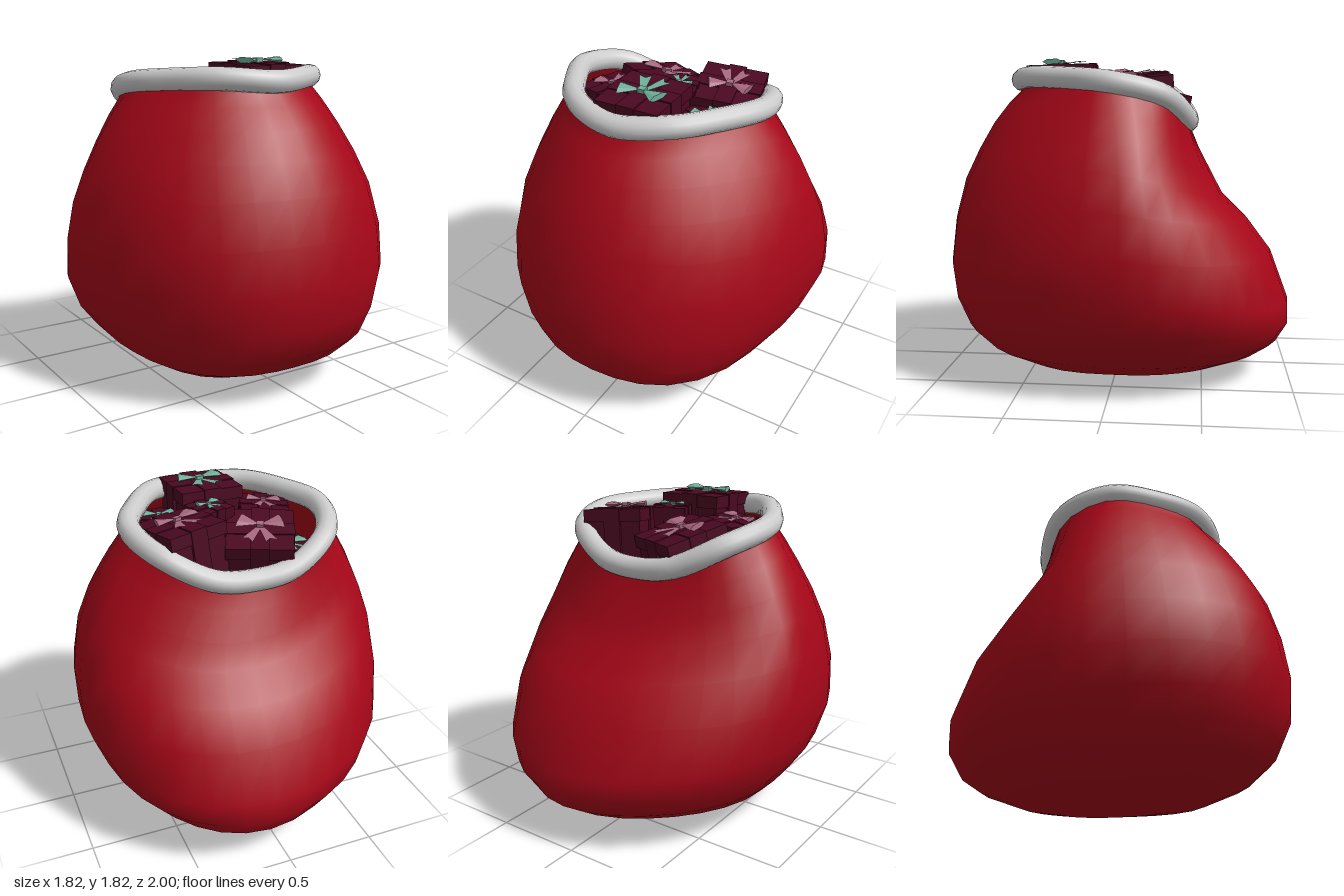
import * as THREE from 'three';

const SIDES = 32;
const mat = (color, extra = {}) => new THREE.MeshStandardMaterial({ color, ...extra });
const red = mat(0xa60618, { side: THREE.DoubleSide });
const grey = mat(0xcccccc);
const wrap = mat(0x4a0820, { flatShading: true });
const green = mat(0x6fb09a, { flatShading: true, side: THREE.DoubleSide });
const pink = mat(0xa8687f, { flatShading: true, side: THREE.DoubleSide });

function add(parent, name, geometry, material, x = 0, y = 0, z = 0) {
  const mesh = new THREE.Mesh(geometry, material);
  mesh.name = name;
  mesh.position.set(x, y, z);
  parent.add(mesh);
  return mesh;
}

// Mouth of the sack: a rounded triangle, low at the back.
// Radius and height every 30 degrees, from front to back.
const mouthRadius = [0.58, 0.555, 0.522, 0.565, 0.55, 0.455, 0.4];
const mouthHeight = [1.692, 1.71, 1.702, 1.678, 1.61, 1.485, 1.455];
const mouthPoints = [];
for (let i = 0; i < 12; i++) {
  const k = i > 6 ? 12 - i : i, a = (i * Math.PI) / 6;
  mouthPoints.push(new THREE.Vector3(
    mouthRadius[k] * Math.sin(a) - 0.017, mouthHeight[k], mouthRadius[k] * Math.cos(a)));
}
const mouth = new THREE.CatmullRomCurve3(mouthPoints, true);

// Rings of the sack: y at front, side, back; half width; z at front, back;
// blend from ellipse (0) to the mouth's outline (1);
// fullness of the diagonals at front, back
const rings = [
  [0.015, 0.012, 0.008, 0.29, 0.27, -0.38, 0, 0.13, -0.04],
  [0.06, 0.06, 0.055, 0.48, 0.52, -0.62, 0, 0.12, -0.04],
  [0.16, 0.16, 0.135, 0.65, 0.76, -0.83, 0, 0.09, -0.03],
  [0.28, 0.25, 0.21, 0.735, 0.9, -0.94, 0, 0.065, -0.02],
  [0.45, 0.38, 0.32, 0.83, 0.98, -1.0, 0, 0.035, 0],
  [0.66, 0.57, 0.44, 0.9, 1.0, -0.995, 0, 0.03, 0],
  [0.9, 0.8, 0.72, 0.91, 0.97, -0.89, 0, 0.02, -0.01],
  [1.13, 1.03, 0.9, 0.88, 0.91, -0.755, 0.03, 0, -0.04],
  [1.3, 1.22, 1.04, 0.82, 0.83, -0.61, 0.12, -0.02, -0.07],
  [1.45, 1.38, 1.17, 0.745, 0.745, -0.54, 0.3, -0.035, -0.08],
  [1.56, 1.52, 1.3, 0.665, 0.66, -0.47, 0.6, -0.03, -0.06],
  [1.63, 1.61, 1.4, 0.6, 0.59, -0.42, 0.9, -0.01, -0.03],
];

function sackGeometry() {
  const pos = [0, 0, 0], index = [];
  for (const [yF, yS, yB, rx, zF, zB, w, fullF, fullB] of rings) {
    const zc = -0.08 * (1 - w);
    for (let i = 0; i < SIDES; i++) {
      const a = (i / SIDES) * Math.PI * 2, c = Math.cos(a);
      const m = mouth.getPoint(i / SIDES);
      const full = 1 + (c > 0 ? fullF : fullB) * Math.sin(2 * a) ** 2;
      // the back leans to +x
      const lean = c < 0 ? 0.1 * c * c * (1 - w) : 0;
      const nx = full * THREE.MathUtils.lerp(Math.sin(a), m.x / 0.565, w);
      const nz = full * THREE.MathUtils.lerp(c, m.z > 0 ? m.z / 0.58 : m.z / 0.4, w);
      pos.push(rx * nx + lean,
        yS + ((yF - yB) / 2) * c + ((yF + yB) / 2 - yS) * c * c,
        zc + nz * (nz > 0 ? zF - zc : zc - zB));
    }
  }
  // last ring ends inside the fur trim
  for (let i = 0; i < SIDES; i++) {
    const m = mouth.getPoint(i / SIDES);
    pos.push(m.x, m.y, m.z);
  }
  const at = (r, i) => 1 + r * SIDES + (i % SIDES);
  for (let i = 0; i < SIDES; i++) {
    index.push(0, at(0, i + 1), at(0, i));
    for (let r = 0; r < rings.length; r++) {
      index.push(at(r, i), at(r, i + 1), at(r + 1, i + 1));
      index.push(at(r, i), at(r + 1, i + 1), at(r + 1, i));
    }
  }
  const g = new THREE.BufferGeometry();
  g.setAttribute('position', new THREE.Float32BufferAttribute(pos, 3));
  g.setIndex(index);
  g.computeVertexNormals();
  return g;
}

// Ribbon tail with a notched end, lying flat and pointing to -z
const tailShape = new THREE.Shape([
  [-0.03, 0], [0.03, 0], [0.09, 0.4], [0.01, 0.35], [-0.08, 0.42],
].map(([x, y]) => new THREE.Vector2(x, y)));

// Bow of unit size: knot, two puffed loops, two tails
function makeBow(material) {
  const bow = new THREE.Group();
  bow.name = 'bow';
  add(bow, 'knot', new THREE.BoxGeometry(0.1, 0.09, 0.1), material, 0, 0.045, 0);
  for (const s of [-1, 1]) {
    const loopGeo = new THREE.ConeGeometry(0.16, 0.31, 6);
    loopGeo.translate(0, -0.15, 0).rotateZ(s * Math.PI / 2).scale(1, 0.4, 1);
    const loop = add(bow, 'loop', loopGeo, material, 0, 0.055, 0);
    loop.rotation.y = -s * 0.3;
    const tailGeo = new THREE.ShapeGeometry(tailShape);
    tailGeo.rotateX(-Math.PI / 2 + 0.08);
    const tail = add(bow, 'tail', tailGeo, material, 0, 0.02, 0);
    tail.rotation.y = -s * 0.42;
  }
  return bow;
}

// Wrapped box with its origin at the middle of the lid's top
function makeGift([x, y, z, w, d, h, yaw, pitch, roll, bowColor]) {
  const gift = new THREE.Group();
  gift.name = 'gift';
  const lid = 0.07;
  add(gift, 'box', new THREE.BoxGeometry(w * 0.94, h, d * 0.94), wrap, 0, -h / 2 - 0.01, 0);
  add(gift, 'lid', new THREE.BoxGeometry(w, lid, d), wrap, 0, -lid / 2, 0);
  add(gift, 'ribbonAcross', new THREE.BoxGeometry(w + 0.012, h, d * 0.28), wrap, 0, 0.006 - h / 2, 0);
  add(gift, 'ribbonAlong', new THREE.BoxGeometry(w * 0.28, h, d + 0.012), wrap, 0, 0.007 - h / 2, 0);
  const bow = makeBow(bowColor);
  bow.scale.set(w * 1.08, w * 0.75, w * 1.08);
  bow.position.set(0, 0.006, d * 0.04);
  gift.add(bow);
  gift.position.set(x, y, z);
  gift.rotation.set(pitch, yaw, roll, 'YXZ');
  return gift;
}

export function createModel() {
  const model = new THREE.Group();
  model.name = 'giftSack';
  add(model, 'sack', sackGeometry(), red);
  add(model, 'furTrim', new THREE.TubeGeometry(mouth, 72, 0.062, 12, true), grey);

  // x, y, z of lid top, width, depth, height, yaw, pitch, roll, bow
  const gifts = [
    [-0.14, 1.645, -0.18, 0.37, 0.38, 0.24, -0.42, -0.24, 0, pink],
    [0.3, 1.715, -0.1, 0.35, 0.38, 0.34, 0.24, 0.1, -0.08, pink],
    [0.02, 1.78, 0.33, 0.37, 0.38, 0.32, 0.04, 0.03, 0, green],
    [-0.3, 1.67, 0.14, 0.28, 0.29, 0.26, -0.3, 0, 0.08, pink],
    [0.32, 1.65, 0.19, 0.25, 0.25, 0.24, -0.25, 0, -0.05, green],
    [0.07, 1.73, 0.05, 0.2, 0.2, 0.24, 0.35, 0, 0, green],
    [-0.37, 1.49, -0.12, 0.28, 0.32, 0.26, 0.12, 0, 0.05, green],
    [0.07, 1.45, -0.15, 0.28, 0.32, 0.24, -0.15, 0, 0, green],
  ];
  for (const g of gifts) model.add(makeGift(g));
  return model;
}
